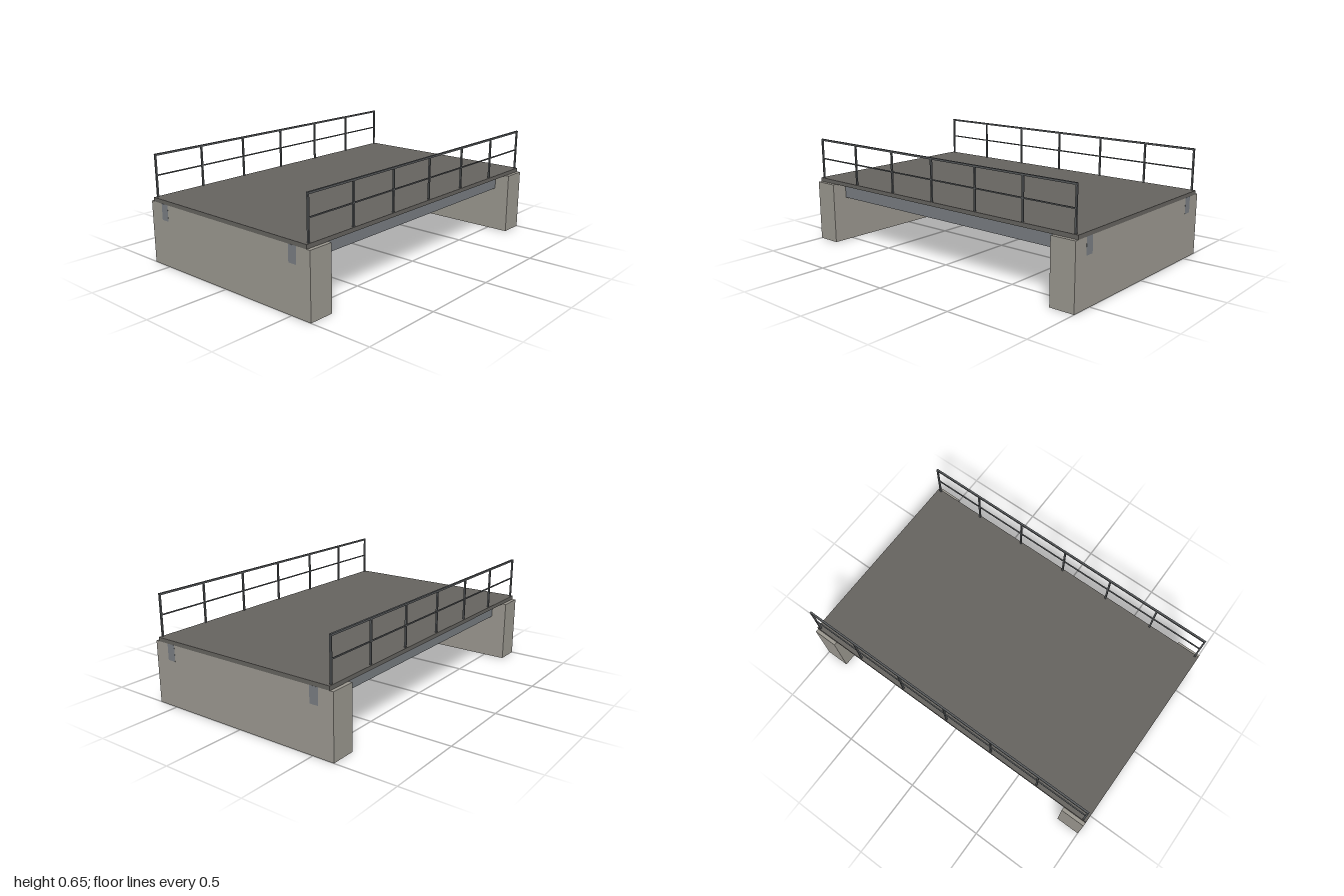
import * as THREE from 'three';

const mat = (color) => new THREE.MeshStandardMaterial({ color });

export function createModel() {
  const bridge = new THREE.Group();
  bridge.name = 'bridge';
  const concrete = mat(0x99968e);
  const asphalt = mat(0x64625e);
  const steel = mat(0x777b80);
  const railPaint = mat(0x55585a);

  // Box given by its size and centre
  const box = (parent, name, material, size, centre) => {
    const mesh = new THREE.Mesh(new THREE.BoxGeometry(...size), material);
    mesh.position.set(...centre);
    mesh.name = name;
    parent.add(mesh);
  };

  // Deck slab
  box(bridge, 'deck', asphalt, [2, 0.024, 1.222], [0, 0.387, 0]);

  for (const s of [-1, 1]) {
    const side = s > 0 ? 'front' : 'back';

    // Abutment under each end of the deck
    box(bridge, s > 0 ? 'leftAbutment' : 'rightAbutment', concrete,
      [0.15, 0.375, 1.266], [s * 0.925, 0.1875, 0]);

    // Girder running through both abutments, its ends just showing
    box(bridge, side + 'Girder', steel, [2.001, 0.097, 0.054], [0, 0.3265, s * 0.512]);

    // Railing along each edge of the deck
    const railing = new THREE.Group();
    railing.name = side + 'Railing';
    railing.position.z = s * 0.602;
    bridge.add(railing);
    for (let i = 0; i < 7; i++) {
      box(railing, 'railingPost', railPaint, [0.01, 0.25, 0.01], [-0.978 + i * 0.326, 0.524, 0]);
    }
    box(railing, 'topRail', railPaint, [1.966, 0.011, 0.012], [0, 0.6455, 0]);
    box(railing, 'middleRail', railPaint, [1.956, 0.007, 0.007], [0, 0.525, 0]);
  }

  return bridge;
}
